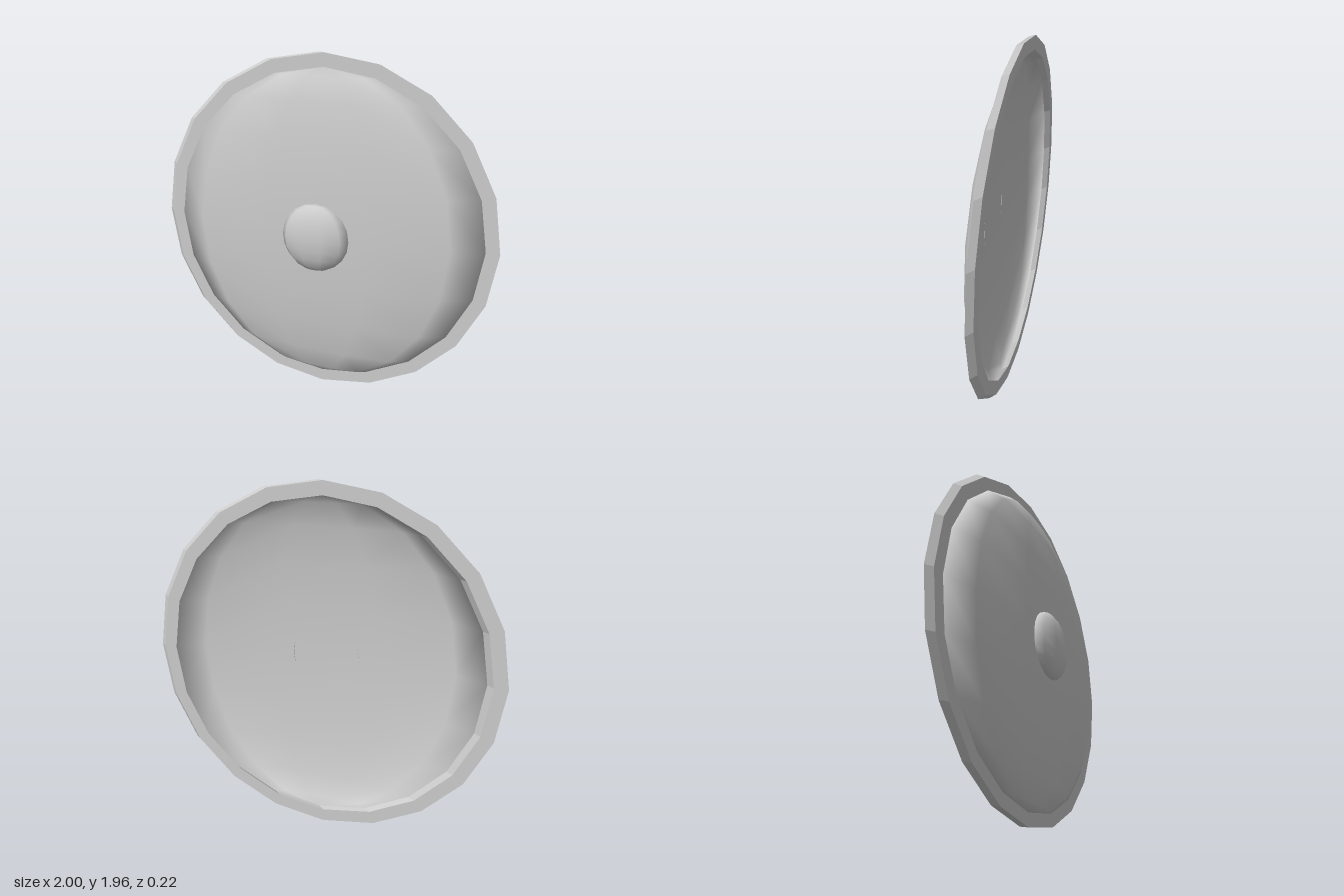
import * as THREE from 'three';

const SIDES = 20;
const CENTRE_X = 0.018;
const CENTRE_Y = 0.982;
const BACK_Z = -0.112;
const RIM_DEPTH = 0.03;

const material = new THREE.MeshStandardMaterial({ color: 0xcccccc });
const thinMaterial = new THREE.MeshStandardMaterial({ color: 0xcccccc, side: THREE.DoubleSide });

// Closed counter-clockwise polygon with one corner at the top
function ringPoints(radius) {
  const points = [];
  for (let i = 0; i < SIDES; i++) {
    const a = (i / SIDES) * Math.PI * 2;
    points.push(new THREE.Vector2(-radius * Math.sin(a), radius * Math.cos(a)));
  }
  return points;
}

// Flat faceted rim whose back face is slid sideways from its front face
function makeRim() {
  const shape = new THREE.Shape(ringPoints(0.982));
  shape.holes.push(new THREE.Path(ringPoints(0.908).reverse()));
  const geometry = new THREE.ExtrudeGeometry(shape, { depth: RIM_DEPTH, bevelEnabled: false });
  const pos = geometry.attributes.position;
  for (let i = 0; i < pos.count; i++) {
    const t = pos.getZ(i) / RIM_DEPTH;
    pos.setX(i, pos.getX(i) - 0.036 * (1 - t));
  }
  geometry.computeVertexNormals();
  const rim = new THREE.Mesh(geometry, material);
  rim.name = 'rim';
  rim.position.set(CENTRE_X, CENTRE_Y, BACK_Z);
  return rim;
}

// Front half of a flattened sphere with its poles at top and bottom
function makeCap(name, radius, depth, z) {
  const geometry = new THREE.SphereGeometry(1, 5, 10, 0, Math.PI);
  geometry.scale(radius, radius, depth);
  const cap = new THREE.Mesh(geometry, thinMaterial);
  cap.name = name;
  cap.position.set(CENTRE_X, CENTRE_Y, z);
  return cap;
}

export function createModel() {
  const shield = new THREE.Group();
  shield.name = 'shield';
  shield.add(makeRim());
  shield.add(makeCap('dome', 0.908, 0.127, BACK_Z + RIM_DEPTH));
  shield.add(makeCap('boss', 0.195, 0.077, 0.037));
  return shield;
}
